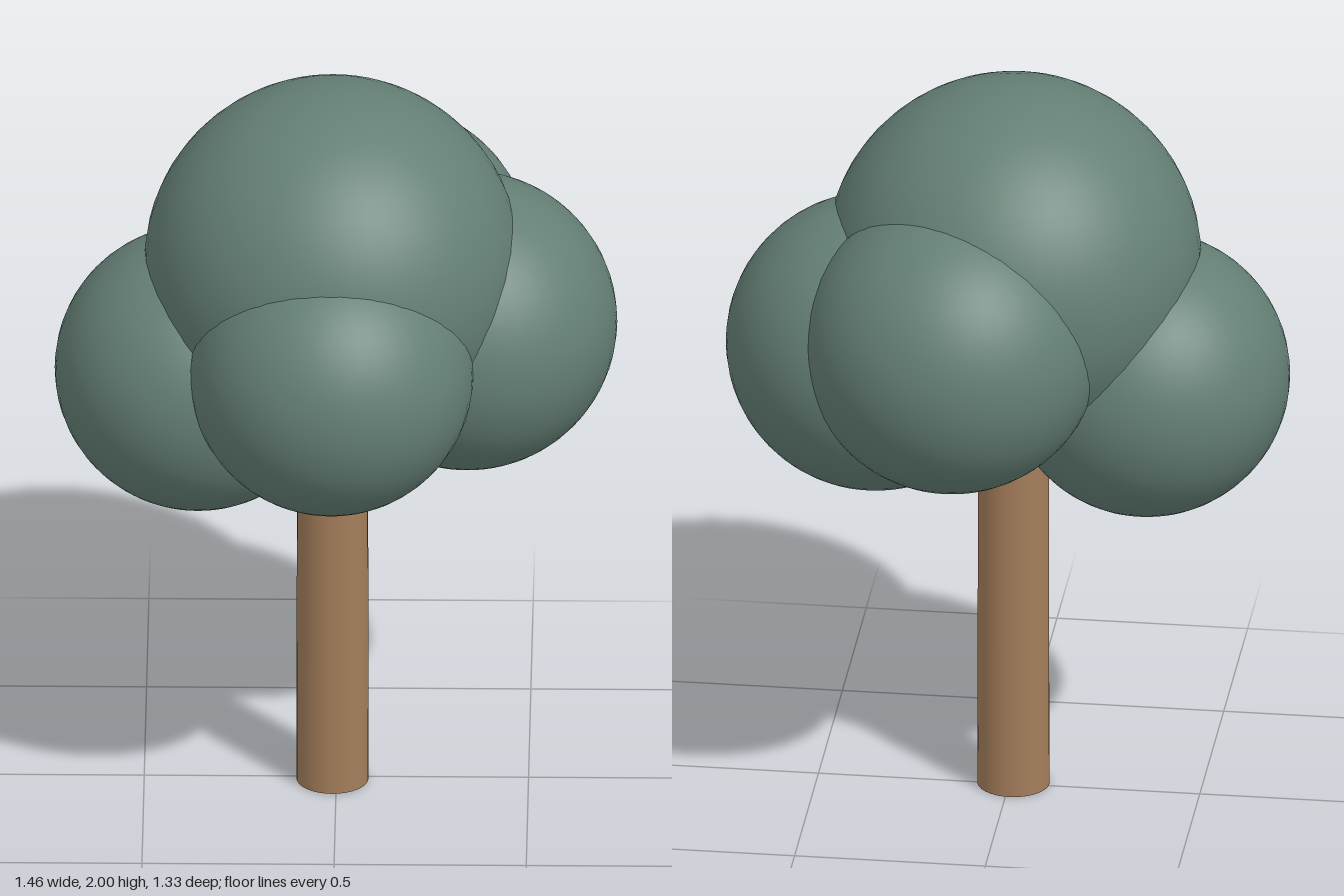
import * as THREE from 'three';

export function createModel() {
  const tree = new THREE.Group();
  tree.name = 'tree';
  const bark = new THREE.MeshStandardMaterial({ name: 'bark brown', color: 0xa47e5b });
  const leaves = new THREE.MeshStandardMaterial({ name: 'leaf green', color: 0x647f75 });

  // Straight trunk reaching up into the crown
  const trunk = new THREE.Mesh(new THREE.CylinderGeometry(0.092, 0.094, 1.3, 32), bark);
  trunk.name = 'trunk';
  trunk.position.set(-0.01, 0.65, 0.01);
  trunk.scale.z = 0.96;
  tree.add(trunk);

  // Crown of overlapping round clumps: name, radius, centre
  const clumps = [
    ['crownTop', 0.49, -0.01, 1.51, 0.01],
    ['crownRight', 0.373, -0.36, 1.2, 0.01],
    ['crownLeft', 0.39, 0.34, 1.296, -0.08],
    ['crownFront', 0.37, -0.01, 1.33, 0.295],
    ['crownBack', 0.39, 0.115, 1.392, -0.275],
  ];
  for (const [name, radius, x, y, z] of clumps) {
    const clump = new THREE.Mesh(new THREE.SphereGeometry(radius, 48, 32), leaves);
    clump.name = name;
    clump.position.set(x, y, z);
    tree.add(clump);
  }
  return tree;
}
